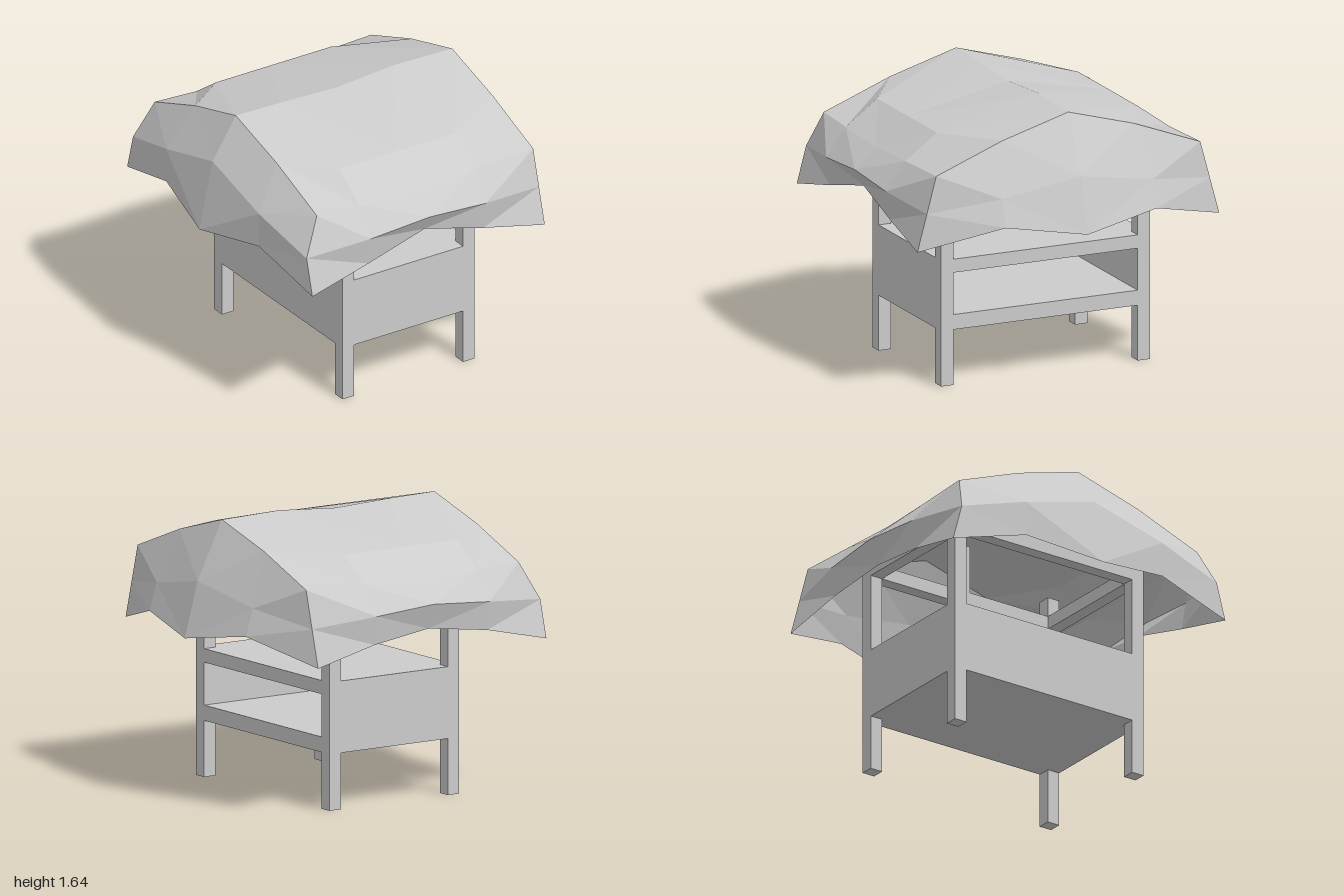
import * as THREE from 'three';

const grey = new THREE.MeshStandardMaterial({ color: 0xcccccc, flatShading: true });
const cloth = new THREE.MeshStandardMaterial({ color: 0xcccccc, flatShading: true, side: THREE.DoubleSide });

// Box given by its limits on each axis
function box(name, [x0, x1], [y0, y1], [z0, z1]) {
  const mesh = new THREE.Mesh(new THREE.BoxGeometry(x1 - x0, y1 - y0, z1 - z0), grey);
  mesh.position.set((x0 + x1) / 2, (y0 + y1) / 2, (z0 + z1) / 2);
  mesh.name = name;
  return mesh;
}

// Faceted sheet through rows of points
function sheet(name, rows, flip = false) {
  const pos = [];
  const tri = (a, b, c) => pos.push(...a, ...(flip ? c : b), ...(flip ? b : c));
  for (let r = 0; r < rows.length - 1; r++) {
    for (let i = 0; i < rows[r].length - 1; i++) {
      const a = rows[r][i], b = rows[r][i + 1], c = rows[r + 1][i], d = rows[r + 1][i + 1];
      // diagonals mirror about the middle column
      if (i < 2) { tri(a, c, d); tri(a, d, b); }
      else { tri(a, c, b); tri(b, c, d); }
    }
  }
  const geo = new THREE.BufferGeometry();
  geo.setAttribute('position', new THREE.Float32BufferAttribute(pos, 3));
  geo.computeVertexNormals();
  const mesh = new THREE.Mesh(geo, cloth);
  mesh.name = name;
  return mesh;
}

// Half of the roof, from the ridge down to the tucked eave
function slopeRows(s, eaveY) {
  const rows = [
    [[-0.75, 1.63, 0], [-0.46, 1.625, 0], [-0.06, 1.61, 0], [0.34, 1.64, 0], [0.74, 1.63, 0]],
    [[-0.75, 1.51, 0.42], [-0.46, 1.48, 0.64], [-0.06, 1.48, 0.64], [0.33, 1.48, 0.64], [0.74, 1.51, 0.42]],
    [[-0.75, 1.35, 0.84], [-0.46, 1.335, 0.84], [-0.06, 1.32, 0.84], [0.33, 1.335, 0.84], [0.74, 1.35, 0.84]],
    [[-0.86, 1.13, 0.9], [-0.46, 1.17, 0.965], [-0.06, 1.2, 0.975], [0.33, 1.17, 0.965], [0.74, 1.13, 0.9]],
    [[-0.86, 0.91, 0.96], [-0.46, 1.0, 0.94], [-0.06, eaveY, 0.92], [0.33, 1.0, 0.94], [0.74, 0.91, 0.96]],
  ];
  return rows.map(row => row.map(([x, y, z]) => [x, y, z * s]));
}

// Completes a row of an end flap by mirroring it in z
const mirrorZ = half => [...half, ...half.slice(0, 2).reverse().map(([x, y, z]) => [x, y, -z])];

export function createModel() {
  const model = new THREE.Group();
  const xs = [[-0.46, -0.38], [0.37, 0.45]];
  const zs = [[-0.66, -0.58], [0.59, 0.67]];
  const fullX = [-0.38, 0.37], fullZ = [-0.58, 0.59];

  // Corner posts
  const frame = new THREE.Group();
  frame.name = 'frame';
  for (const x of xs) for (const z of zs) frame.add(box('post', x, [0, 1.42], z));

  // Top rails, with a short post under each end of the ridge
  for (const x of xs) {
    frame.add(box('sideTopRail', x, [1.22, 1.3], fullZ));
    frame.add(box('ridgePost', x, [1.3, 1.59], [-0.04, 0.04]));
  }
  for (const z of zs) frame.add(box('endTopRail', fullX, [1.22, 1.3], z));
  model.add(frame);

  // Counter: solid on three sides, open on the left
  const counter = new THREE.Group();
  counter.name = 'counter';
  counter.add(box('shelf', [-0.38, 0.45], [0.33, 0.42], fullZ));
  counter.add(box('counterTop', [-0.38, 0.45], [0.67, 0.75], fullZ));
  counter.add(box('rightPanel', xs[0], [0.33, 0.75], fullZ));
  counter.add(box('backPanel', fullX, [0.33, 0.75], zs[0]));
  counter.add(box('frontPanel', fullX, [0.33, 0.75], zs[1]));
  model.add(counter);

  // Draped canopy
  const canopy = new THREE.Group();
  canopy.name = 'canopy';
  canopy.add(sheet('frontSlope', slopeRows(1, 1.1)));
  canopy.add(sheet('backSlope', slopeRows(-1, 1.05), true));
  canopy.add(sheet('leftFlap', [
    [[0.74, 1.35, 0.84], [0.74, 1.51, 0.42], [0.74, 1.63, 0]],
    [[0.74, 1.13, 0.9], [0.86, 1.2, 0.48], [0.91, 1.29, 0]],
    [[0.74, 0.91, 0.96], [0.91, 1.04, 0.48], [1, 0.965, 0]],
  ].map(mirrorZ)));
  canopy.add(sheet('rightFlap', [
    [[-0.75, 1.35, 0.84], [-0.75, 1.51, 0.42], [-0.75, 1.63, 0]],
    [[-0.86, 1.13, 0.9], [-0.91, 1.25, 0.48], [-0.91, 1.38, 0]],
    [[-0.86, 0.91, 0.96], [-0.91, 1.04, 0.48], [-1, 0.965, 0]],
  ].map(mirrorZ), true));
  model.add(canopy);

  return model;
}
